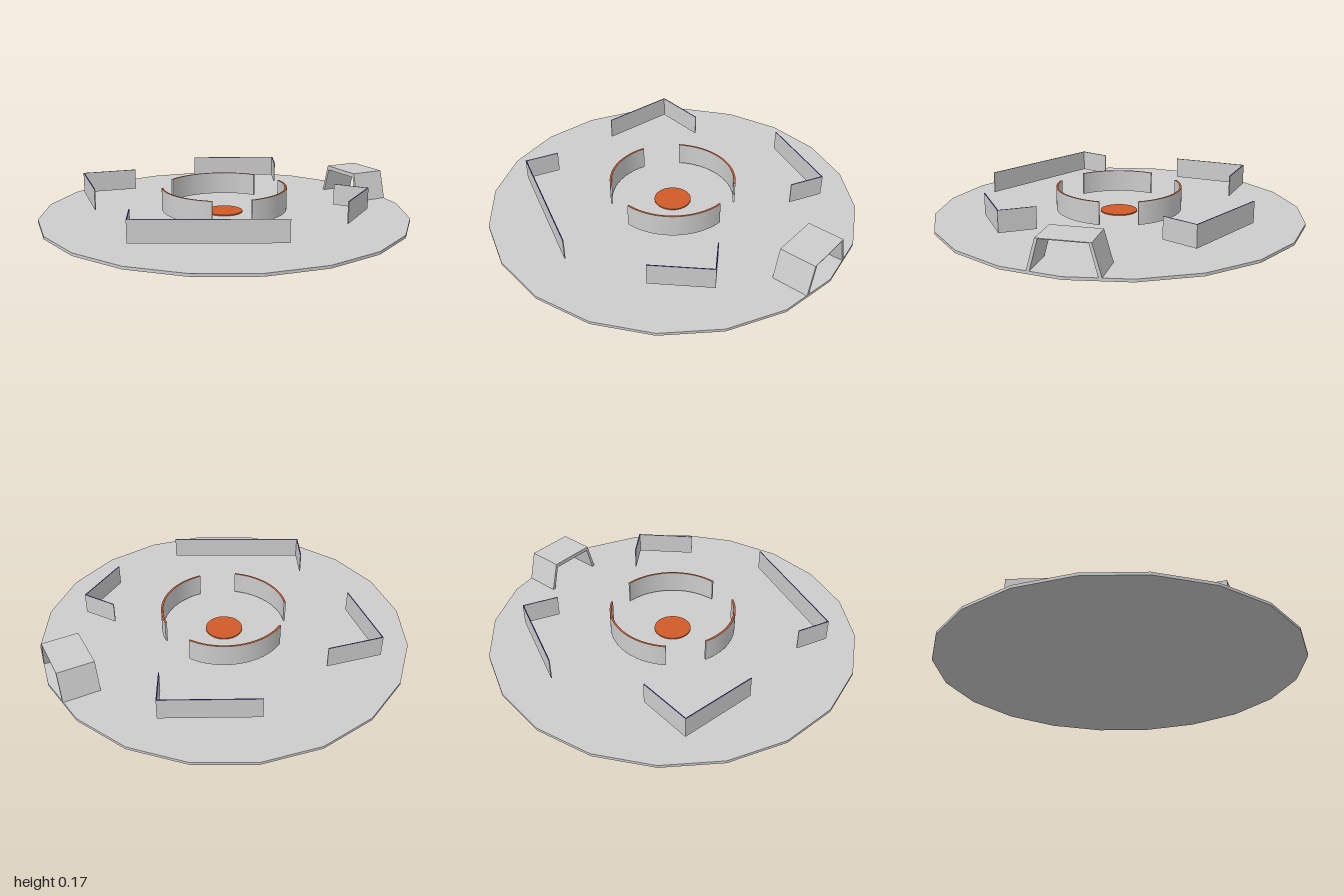
import * as THREE from 'three';

export function createModel() {
  const model = new THREE.Group();
  const grey = new THREE.MeshStandardMaterial({ color: 0xcccccc });
  const orange = new THREE.MeshStandardMaterial({ color: 0xd05a28 });
  const blue = new THREE.MeshStandardMaterial({ color: 0x3a34a0 });
  grey.name = 'grey';
  orange.name = 'orange';
  blue.name = 'blue';

  const add = (name, geometry, material, parent = model) => {
    const mesh = new THREE.Mesh(geometry, material);
    mesh.name = name;
    parent.add(mesh);
    return mesh;
  };

  // Twenty-sided floor plate and the round pad at its centre
  const floor = new THREE.CylinderGeometry(1, 1, 0.015, 20).toNonIndexed();
  floor.computeVertexNormals();
  add('floor', floor.translate(0, 0.0075, 0), grey);
  add('centrePad', new THREE.CylinderGeometry(0.1, 0.1, 0.006, 32).translate(0, 0.018, 0), orange);

  // Curved inner walls with orange tops; angles run from +x towards +z
  const arcs = [[-124, -31], [3, 93], [128, 200]];
  arcs.forEach(([from, to], i) => {
    const a = THREE.MathUtils.degToRad(from), b = THREE.MathUtils.degToRad(to);
    const shape = new THREE.Shape();
    shape.absarc(0, 0, 0.341, a, b, false);
    shape.absarc(0, 0, 0.331, b, a, true);
    const wall = new THREE.ExtrudeGeometry(shape, { depth: 0.122, bevelEnabled: false, curveSegments: 28 });
    wall.rotateX(Math.PI / 2).translate(0, 0.158, 0);
    add('curvedWall' + (i + 1), wall, [orange, grey]);
  });

  // Angled outer walls as thin panels with blue tops, corners given as x, z
  const thick = 0.005;
  const corners = [
    [[-0.30, -0.57], [-0.595, -0.62], [-0.665, -0.21]],
    [[0.175, -0.74], [0.62, -0.52], [0.535, -0.35]],
    [[-0.645, 0.25], [-0.72, 0.415], [-0.055, 0.755]],
    [[0.53, 0.285], [0.635, 0.44], [0.37, 0.625]],
  ];
  corners.forEach((path, i) => {
    const group = new THREE.Group();
    group.name = 'cornerWall' + (i + 1);
    model.add(group);
    for (let k = 0; k < 2; k++) {
      const [x0, z0] = path[k], [x1, z1] = path[k + 1];
      const box = new THREE.BoxGeometry(Math.hypot(x1 - x0, z1 - z0) + thick, 0.115, thick);
      const panel = add('panel' + (k + 1), box, [grey, grey, blue, grey, grey, grey], group);
      panel.position.set((x0 + x1) / 2, 0.1125, (z0 + z1) / 2);
      panel.rotation.y = -Math.atan2(z1 - z0, x1 - x0);
    }
  });

  // Entrance arch: two leaning legs and a roof, extruded along x
  const arch = new THREE.Group();
  arch.name = 'entranceArch';
  model.add(arch);
  const alongX = (points) => {
    const shape = new THREE.Shape(points.map(([z, y]) => new THREE.Vector2(-z, y)));
    return new THREE.ExtrudeGeometry(shape, { depth: 0.195, bevelEnabled: false })
      .rotateY(Math.PI / 2).translate(0.78, 0, 0);
  };
  for (const s of [1, -1]) {
    const leg = [[0.172, 0.015], [0.155, 0.015], [0.113, 0.17], [0.128, 0.17]];
    add(s > 0 ? 'leftLeg' : 'rightLeg', alongX(leg.map(([z, y]) => [z * s, y])), grey, arch);
  }
  // Roof underside rises towards the outer end
  const roof = alongX([[0.12, 0.147], [-0.12, 0.147], [-0.115, 0.17], [0.115, 0.17]]);
  const p = roof.attributes.position;
  for (let i = 0; i < p.count; i++) {
    if (p.getX(i) > 0.9 && p.getY(i) < 0.16) p.setY(i, 0.166);
  }
  roof.computeVertexNormals();
  add('roof', roof, grey, arch);

  return model;
}
